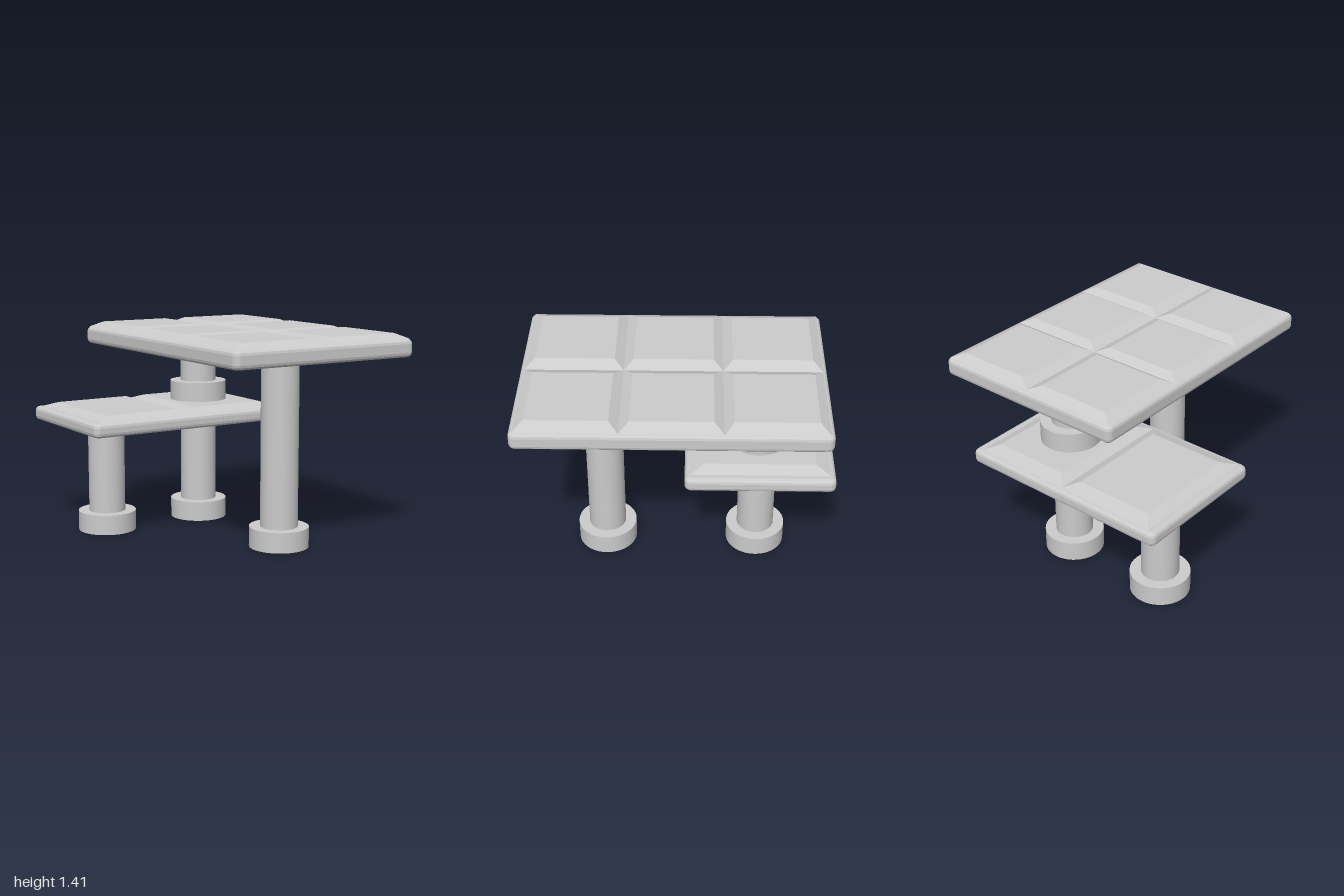
import * as THREE from 'three';

const material = new THREE.MeshStandardMaterial({ color: 0xcccccc });
const openMaterial = new THREE.MeshStandardMaterial({ color: 0xcccccc, side: THREE.DoubleSide });

function addMesh(parent, name, geometry, mat = material) {
  const mesh = new THREE.Mesh(geometry, mat);
  mesh.name = name;
  parent.add(mesh);
  return mesh;
}

// Flat board with rolled edges and slightly rounded corners
function boardGeometry(width, depth, height) {
  const bevel = 0.03, r = 0.012;
  const w = width / 2 - bevel, d = depth / 2 - bevel;
  const shape = new THREE.Shape();
  shape.absarc(w - r, d - r, r, 0, Math.PI / 2);
  shape.absarc(-w + r, d - r, r, Math.PI / 2, Math.PI);
  shape.absarc(-w + r, -d + r, r, Math.PI, Math.PI * 1.5);
  shape.absarc(w - r, -d + r, r, Math.PI * 1.5, Math.PI * 2);
  const geometry = new THREE.ExtrudeGeometry(shape, {
    depth: height - 2 * bevel, bevelThickness: bevel, bevelSize: bevel, bevelSegments: 3, curveSegments: 3,
  });
  return geometry.rotateX(-Math.PI / 2).translate(0, bevel, 0);
}

// Raised panel: a box whose top face is drawn in on all sides
function panelGeometry(width, depth, height, insetX, insetZ) {
  const geometry = new THREE.BoxGeometry(width, height, depth).translate(0, height / 2, 0);
  const p = geometry.attributes.position;
  for (let i = 0; i < p.count; i++) {
    if (p.getY(i) < height / 2) continue;
    p.setX(i, p.getX(i) - Math.sign(p.getX(i)) * insetX);
    p.setZ(i, p.getZ(i) - Math.sign(p.getZ(i)) * insetZ);
  }
  geometry.computeVertexNormals();
  return geometry;
}

// Board carrying a grid of panels
function createBoard(name, o) {
  const group = new THREE.Group();
  group.name = name;
  group.position.set(o.x, o.y, o.z);
  addMesh(group, 'board', boardGeometry(o.width, o.depth, o.height));
  const pw = o.panelsWidth / o.columns, pd = o.panelsDepth / o.rows;
  for (let i = 0; i < o.columns; i++) {
    for (let j = 0; j < o.rows; j++) {
      const panel = addMesh(group, 'raisedPanel', panelGeometry(pw, pd, o.rise, o.insetX, o.insetZ));
      panel.position.set((i - (o.columns - 1) / 2) * pw, o.height, (j - (o.rows - 1) / 2) * pd);
    }
  }
  return group;
}

// Round post in a wider foot, both hollow and open underneath
function createPost(name, x, z, bottom, top) {
  const group = new THREE.Group();
  group.name = name;
  group.position.set(x, bottom, z);
  const height = top - bottom, footHeight = 0.135, footRadius = 0.197, radius = 0.124;
  const column = new THREE.CylinderGeometry(radius, radius, height, 40, 1, true);
  addMesh(group, 'column', column, openMaterial).position.y = height / 2;
  const wall = new THREE.CylinderGeometry(footRadius, footRadius, footHeight, 40, 1, true);
  addMesh(group, 'footWall', wall, openMaterial).position.y = footHeight / 2;
  const cover = new THREE.RingGeometry(radius, footRadius, 40).rotateX(-Math.PI / 2);
  addMesh(group, 'footTop', cover, openMaterial).position.y = footHeight;
  return group;
}

export function createModel() {
  const model = new THREE.Group();
  model.name = 'twoLevelTable';

  model.add(createBoard('upperTop', {
    x: 0.19, y: 1.253, z: 0.035, width: 1.36, depth: 1.93, height: 0.117,
    columns: 2, rows: 3, panelsWidth: 1.32, panelsDepth: 1.88, rise: 0.036, insetX: 0.08, insetZ: 0.06,
  }));
  model.add(createBoard('lowerTop', {
    x: -0.13, y: 0.73, z: -0.52, width: 1.48, depth: 0.96, height: 0.095,
    columns: 2, rows: 1, panelsWidth: 1.36, panelsDepth: 0.89, rise: 0.031, insetX: 0.075, insetZ: 0.09,
  }));

  model.add(createPost('frontPost', 0.19, 0.49, 0, 1.255));
  model.add(createPost('backLeftPost', 0.19, -0.52, 0, 0.735));
  model.add(createPost('backRightPost', -0.55, -0.52, 0, 0.735));
  model.add(createPost('upperPost', 0.19, -0.52, 0.854, 1.255));

  return model;
}
